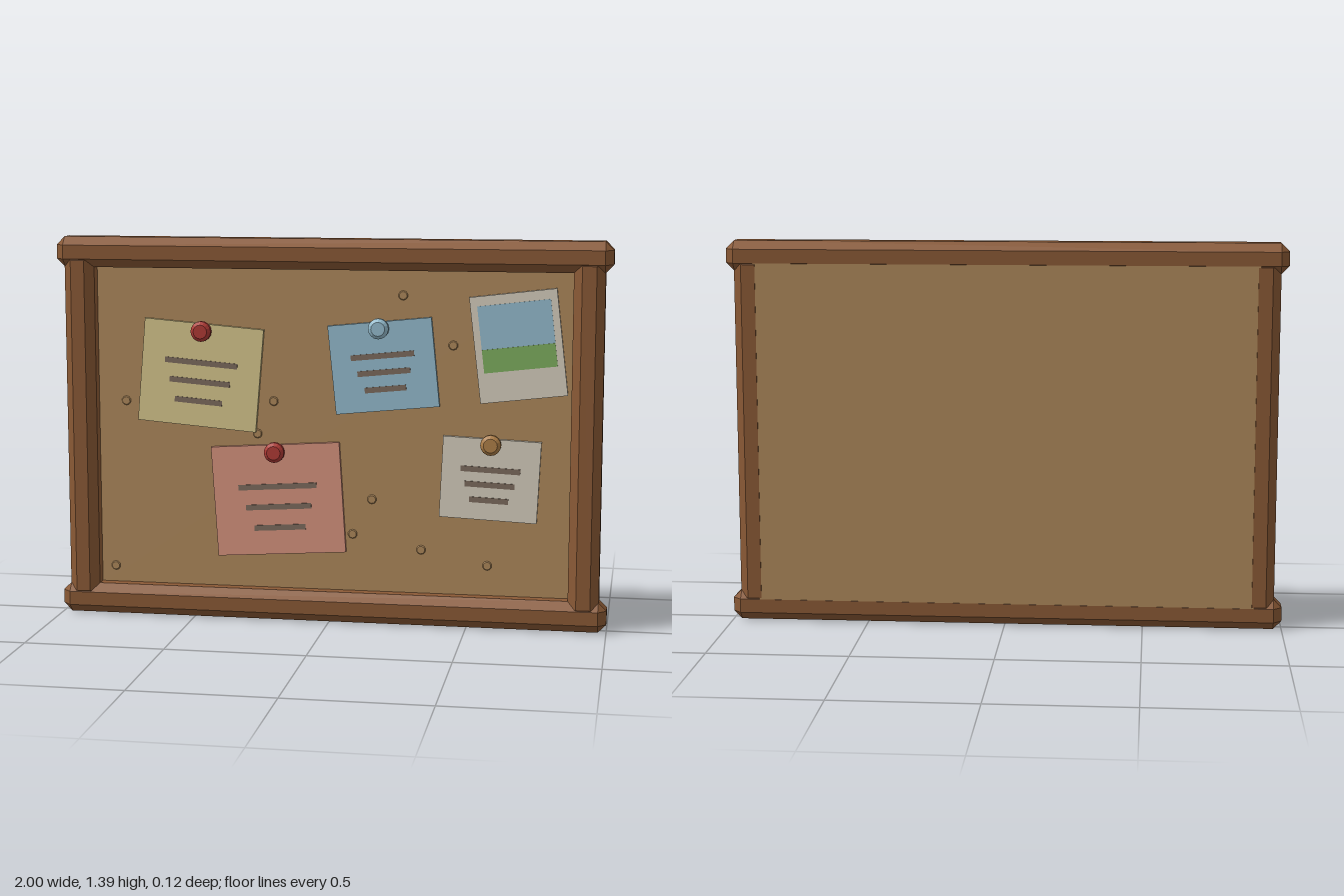
import * as THREE from 'three';
import { ConvexGeometry } from 'three/addons/geometries/ConvexGeometry.js';

const mat = (name, color) => {
  const m = new THREE.MeshStandardMaterial({ color });
  m.name = name;
  return m;
};

// Box with every edge chamfered by b
function chamferBox(w, h, d, b) {
  const pts = [];
  for (const sx of [-1, 1]) for (const sy of [-1, 1]) for (const sz of [-1, 1]) {
    for (let axis = 0; axis < 3; axis++) {
      const p = [w / 2, h / 2, d / 2].map((v, i) => (i === axis ? v : v - b));
      pts.push(new THREE.Vector3(sx * p[0], sy * p[1], sz * p[2]));
    }
  }
  return new ConvexGeometry(pts);
}

export function createModel() {
  const wood = mat('wood', 0x8b5a36);
  const cork = mat('cork', 0xb08a5c);
  const yellow = mat('yellowPaper', 0xd8c88e);
  const blue = mat('bluePaper', 0x96bed0);
  const pink = mat('pinkPaper', 0xd8947f);
  const white = mat('whitePaper', 0xd8d0c0);
  const ink = mat('ink', 0x7e6c5e);
  const green = mat('grass', 0x7fb060);
  const red = mat('redPin', 0xb03a35);
  const ochre = mat('ochrePin', 0xb08048);

  const model = new THREE.Group();
  model.name = 'noticeBoard';
  const add = (parent, name, geometry, material, x = 0, y = 0, z = 0) => {
    const mesh = new THREE.Mesh(geometry, material);
    mesh.name = name;
    mesh.position.set(x, y, z);
    parent.add(mesh);
    return mesh;
  };

  // Frame: two long rails over two stiles
  const rail = chamferBox(2, 0.11, 0.12, 0.03);
  add(model, 'topRail', rail, wood, 0, 1.335, 0);
  add(model, 'bottomRail', rail, wood, 0, 0.055, 0);
  const stile = chamferBox(0.11, 1.28, 0.12, 0.03);
  add(model, 'leftStile', stile, wood, 0.917, 0.695, 0);
  add(model, 'rightStile', stile, wood, -0.917, 0.695, 0);

  // Cork panel, recessed in front and nearly flush behind
  const corkZ = -0.01;
  add(model, 'corkPanel', new THREE.BoxGeometry(1.8, 1.25, 0.0496), cork, 0, 0.695, corkZ - 0.0248);

  // Small raised cork flecks
  const fleck = new THREE.CylinderGeometry(0.014, 0.018, 0.006, 10).rotateX(Math.PI / 2);
  [[-0.76, 0.79], [-0.21, 0.8], [-0.27, 0.68], [0.26, 1.19], [0.44, 1.015],
    [0.15, 0.45], [0.08, 0.32], [0.33, 0.27], [0.57, 0.22], [-0.81, 0.17]]
    .forEach(([x, y]) => add(model, 'corkFleck', fleck, cork, x, y, corkZ + 0.002));

  // A tilted sheet of paper lying on the cork
  const thick = 0.016;
  const sheet = (name, material, x, y, w, h, degrees) => {
    const group = new THREE.Group();
    group.name = name;
    group.position.set(x, y, corkZ);
    group.rotation.z = THREE.MathUtils.degToRad(degrees);
    add(group, 'paper', new THREE.BoxGeometry(w, h, thick), material, 0, 0, thick / 2);
    model.add(group);
    return group;
  };

  // Notes with three written lines each
  const notes = [
    ['yellowNote', yellow, -0.478, 0.891, 0.44, 0.375, -4.8],
    ['blueNote', blue, 0.192, 0.937, 0.375, 0.32, 5.7],
    ['pinkNote', pink, -0.192, 0.441, 0.474, 0.404, 3.6],
    ['whiteNote', white, 0.577, 0.537, 0.35, 0.294, -2.6],
  ];
  for (const note of notes) {
    const group = sheet(...note);
    const [w, h] = [note[4], note[5]];
    [[0.61, 0.12], [0.51, -0.065], [0.4, -0.255]].forEach(([len, at]) =>
      add(group, 'writtenLine', new THREE.BoxGeometry(w * len, 0.02, 0.004), ink, 0, h * at, thick + 0.001));
  }

  // Photo with sky and grass
  const photo = sheet('photo', white, 0.672, 1.017, 0.31, 0.38, 6.7);
  add(photo, 'photoSky', new THREE.BoxGeometry(0.26, 0.155, 0.004), blue, 0, 0.078, thick + 0.001);
  add(photo, 'photoGrass', new THREE.BoxGeometry(0.26, 0.083, 0.004), green, 0, -0.0415, thick + 0.001);

  // Push pins: a round head with a bevelled cap
  const profile = [[0.03, 0], [0.037, 0.008], [0.037, 0.024], [0.025, 0.035], [0, 0.035]]
    .map(([r, y]) => new THREE.Vector2(r, y));
  const pin = new THREE.LatheGeometry(profile, 16).rotateX(Math.PI / 2).toNonIndexed();
  pin.computeVertexNormals();
  [['yellowNotePin', red, -0.47, 1.052], ['bluePin', blue, 0.176, 1.073],
    ['pinkNotePin', red, -0.203, 0.617], ['whiteNotePin', ochre, 0.58, 0.665]]
    .forEach(([name, material, x, y]) => add(model, name, pin, material, x, y, corkZ + thick - 0.001));

  return model;
}
